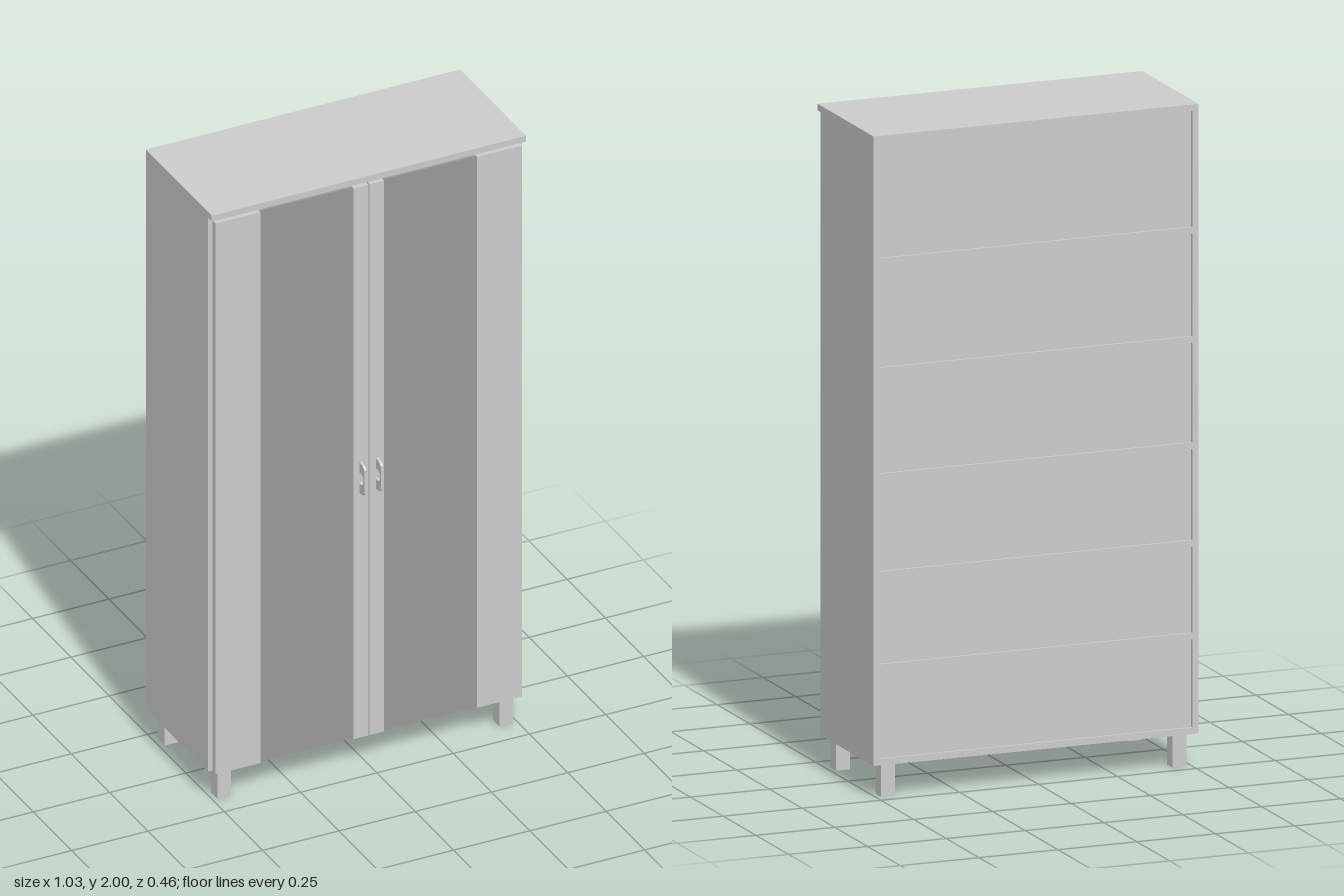
import * as THREE from 'three';

const grey = new THREE.MeshStandardMaterial({ color: 0xcccccc });
const darkGrey = new THREE.MeshStandardMaterial({ color: 0x999999 });

// Box given by its minimum and maximum along each axis
function slab(parent, name, [x0, x1], [y0, y1], [z0, z1], material = grey) {
  const mesh = new THREE.Mesh(new THREE.BoxGeometry(x1 - x0, y1 - y0, z1 - z0), material);
  mesh.position.set((x0 + x1) / 2, (y0 + y1) / 2, (z0 + z1) / 2);
  mesh.name = name;
  parent.add(mesh);
  return mesh;
}

const span = (s, a, b) => (s > 0 ? [a, b] : [-b, -a]);

// Flat pull with chamfered corners and a finger opening towards the door
function handleGeometry() {
  const s = new THREE.Shape();
  s.moveTo(0, -0.053);
  s.lineTo(0.022, -0.049);
  s.lineTo(0.032, -0.04);
  s.lineTo(0.032, 0.04);
  s.lineTo(0.022, 0.049);
  s.lineTo(0, 0.053);
  s.lineTo(0, 0.016);
  s.absarc(0.009, 0, 0.018, Math.PI * 0.667, -Math.PI * 0.667, true);
  s.lineTo(0, -0.053);
  const geo = new THREE.ExtrudeGeometry(s, { depth: 0.008, bevelEnabled: false, curveSegments: 16 });
  geo.translate(0, 0, -0.004);
  return geo.rotateY(-Math.PI / 2);
}

export function createModel() {
  const model = new THREE.Group();
  model.name = 'cabinet';
  const W = 0.515, T = 0.02, back = -0.231, bodyFront = 0.173, doorFront = 0.198;
  const inner = [-W + T, W - T];

  // Carcass
  slab(model, 'top', [-W, W], [1.98, 2], [back, doorFront]);
  for (const s of [1, -1]) {
    slab(model, s > 0 ? 'leftSide' : 'rightSide', span(s, W - T, W), [0.1, 1.98], [back, bodyFront]);
  }

  // Bottom and shelves, with inset back panels between them
  const levels = [0.12, 0.405, 0.685, 0.98, 1.3, 1.63];
  levels.forEach((y, i) => {
    slab(model, i ? 'shelf' : 'bottom', inner, [y - T, y], [back, bodyFront]);
    const above = i < levels.length - 1 ? levels[i + 1] - T : 1.98;
    slab(model, 'backPanel', inner, [y, above], [back + 0.008, back + 0.018]);
  });

  // Doors: two stiles around a darker recessed panel, and a handle
  const handle = handleGeometry();
  for (const s of [1, -1]) {
    const door = new THREE.Group();
    door.name = s > 0 ? 'leftDoor' : 'rightDoor';
    const y = [0.1, 1.97], z = [0.178, doorFront];
    slab(door, 'innerStile', span(s, 0.002, 0.05), y, z);
    slab(door, 'outerStile', span(s, 0.355, 0.502), y, z);
    slab(door, 'doorPanel', span(s, 0.05, 0.355), y, [0.178, doorFront - 0.007], darkGrey);
    const pull = new THREE.Mesh(handle, grey);
    pull.name = 'handle';
    pull.position.set(s * 0.027, 0.983, doorFront);
    door.add(pull);
    model.add(door);

    // Legs
    slab(model, 'frontLeg', span(s, 0.44, 0.484), [0, 0.1], [0.13, 0.173]);
    slab(model, 'backLeg', span(s, 0.44, 0.484), [0, 0.1], [-0.214, -0.17]);
  }
  return model;
}
